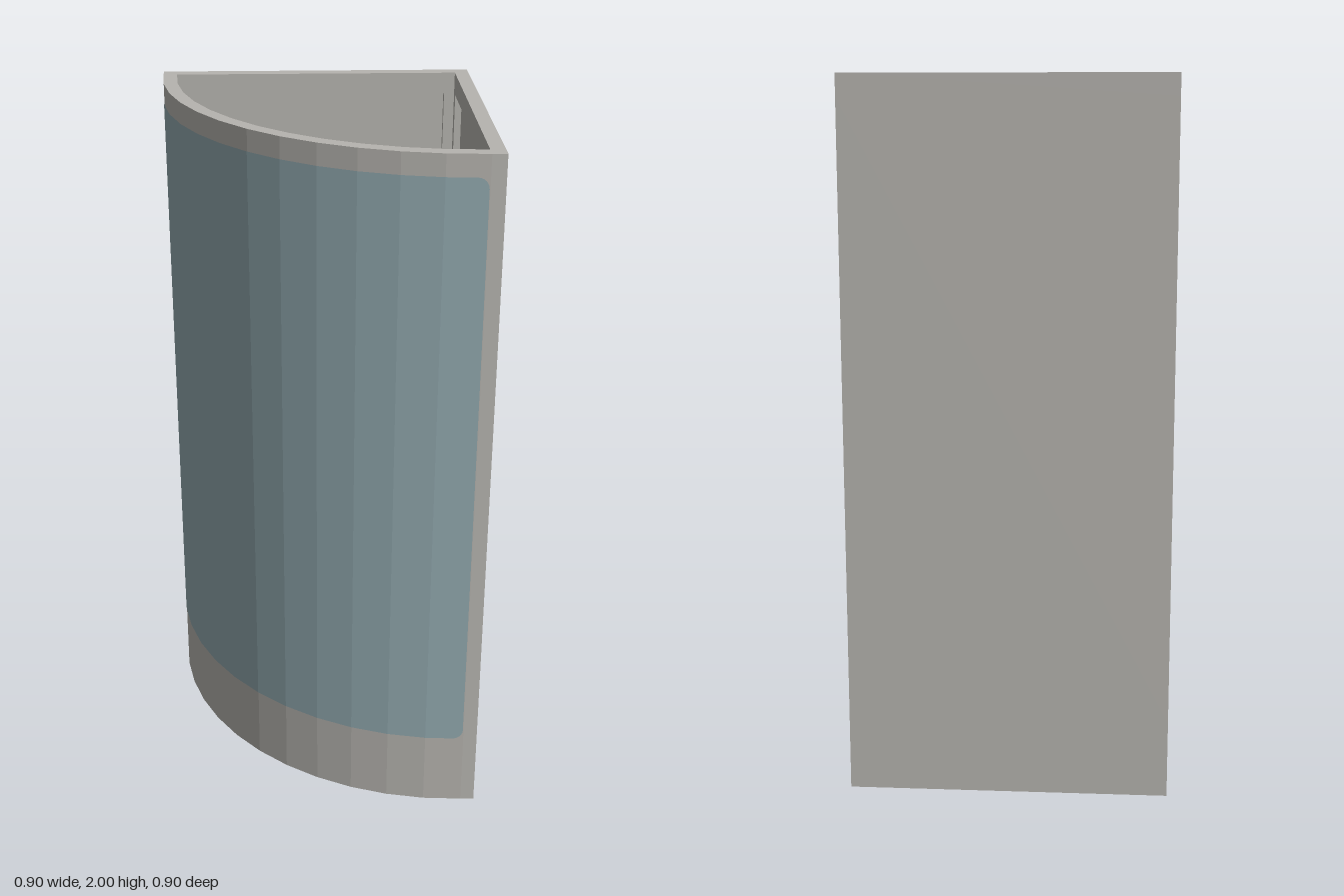
import * as THREE from 'three';

const wallMat = new THREE.MeshStandardMaterial({ name: 'warm grey wall', color: 0xb6b4af, side: THREE.DoubleSide });
const glassMat = new THREE.MeshStandardMaterial({ name: 'blue grey glass', color: 0x92a9af, side: THREE.DoubleSide });
const metalMat = new THREE.MeshStandardMaterial({ name: 'light fixture metal', color: 0xbcbdb9 });
const drainMat = new THREE.MeshStandardMaterial({ name: 'black drain', color: 0x2b2b2b });

const C = 0.41, SEG = 12; // arc centre is (C, -C), quarter turn in 12 facets

// Point on the faceted quarter arc, t from 0 (left end) to SEG (front end)
function arcPoint(r, t) {
  const at = i => {
    const a = (i / SEG) * Math.PI / 2;
    return new THREE.Vector2(C - r * Math.cos(a), -C + r * Math.sin(a));
  };
  const i = Math.min(Math.floor(t), SEG - 1);
  return at(i).lerp(at(i + 1), t - i);
}

const arc = r => Array.from({ length: SEG + 1 }, (_, i) => arcPoint(r, i));
const V = (x, z) => new THREE.Vector2(x, z);

// Quarter-round outline: flat walls at distance d, arc of radius r
function outline(d, r) {
  if (d >= C) return [V(d, -d), V(-d, -d), ...arc(r), V(d, d)];
  const start = C - Math.sqrt(r * r - (C - d) ** 2);
  const mid = arc(r).filter(p => p.x < d - 0.002 && p.y > -d + 0.002);
  return [V(d, -d), V(start, -d), ...mid, V(d, -start)];
}

const toShape = pts => new THREE.Shape(pts.map(p => V(p.x, -p.y)));

function add(parent, name, geo, mat, x = 0, y = 0, z = 0) {
  const m = new THREE.Mesh(geo, mat);
  m.name = name;
  m.position.set(x, y, z);
  parent.add(m);
  return m;
}

// Vertical wall ring between two heights
function ring(outer, inner, y0, y1) {
  const s = toShape(outer);
  s.holes.push(toShape(inner));
  return new THREE.ExtrudeGeometry(s, { depth: y1 - y0, bevelEnabled: false })
    .rotateX(-Math.PI / 2).translate(0, y0, 0);
}

const flat = (pts, y) => new THREE.ShapeGeometry(toShape(pts)).rotateX(-Math.PI / 2).translate(0, y, 0);

function fromQuads(quads) {
  const pos = quads.flatMap(([a, b, c, d]) => [a, b, c, a, c, d].flat());
  const g = new THREE.BufferGeometry();
  g.setAttribute('position', new THREE.Float32BufferAttribute(pos, 3));
  g.computeVertexNormals();
  return g;
}

// Curved window sheet with rounded corners
function pane(r, t0, t1, y0, y1, sign) {
  const step = r * Math.PI / 2 / SEG, rad = 0.03, ts = [];
  for (let i = 0; i <= 6; i++) {
    const d = rad * (1 - Math.cos(i / 6 * Math.PI / 2)) / step;
    ts.push(t0 + d, t1 - d);
  }
  for (let i = 0; i <= SEG; i++) if (i > t0 + rad / step && i < t1 - rad / step) ts.push(i);
  ts.sort((a, b) => a - b);
  const cols = ts.map(t => {
    const d = Math.min(t - t0, t1 - t) * step;
    const k = Math.max(rad - d, 0);
    const inset = rad - Math.sqrt(Math.max(rad * rad - k * k, 0));
    const p = arcPoint(r, t);
    return [[p.x, y0 + inset, p.y], [p.x, y1 - inset, p.y]];
  });
  return fromQuads(cols.slice(1).map((c, i) => {
    const q = [cols[i][0], c[0], c[1], cols[i][1]];
    return sign > 0 ? q : q.reverse();
  }));
}

export function createModel() {
  const model = new THREE.Group();
  model.name = 'cornerShower';

  // Enclosure, with recessed panels inside the two flat walls
  const outer = outline(0.45, 0.86), inner = outline(0.41, 0.82);
  const recessed = [
    V(0.41, 0.38), V(0.43, 0.38), V(0.43, -0.38), V(0.41, -0.38), V(0.41, -0.41),
    V(0.38, -0.41), V(0.38, -0.43), V(-0.38, -0.43), V(-0.38, -0.41), ...arc(0.82),
  ];
  add(model, 'lowerWall', ring(outer, inner, 0, 0.22), wallMat);
  add(model, 'middleWall', ring(outer, recessed, 0.22, 1.94), wallMat);
  add(model, 'topFrame', ring(outer, inner, 1.94, 2), wallMat);
  add(model, 'outerGlass', pane(0.8615, 0.02, SEG - 0.02, 0.225, 1.94, 1), glassMat);
  add(model, 'innerGlass', pane(0.8185, 0.45, SEG - 0.45, 0.225, 1.94, -1), glassMat);

  // Tray: ledge, sloping sides, floor and underside
  const rimY = 0.16, floorY = 0.08;
  const hi = outline(0.365, 0.772), lo = outline(0.34, 0.746);
  add(model, 'trayLedge', ring(inner, hi, rimY - 0.01, rimY), wallMat);
  add(model, 'traySlope', fromQuads(hi.map((p, i) => {
    const j = (i + 1) % hi.length;
    return [[p.x, rimY, p.y], [hi[j].x, rimY, hi[j].y], [lo[j].x, floorY, lo[j].y], [lo[i].x, floorY, lo[i].y]].reverse();
  })), wallMat);
  add(model, 'trayFloor', flat(lo, floorY), wallMat);
  add(model, 'underside', flat(outer, 0.001), wallMat);
  add(model, 'drain', new THREE.CylinderGeometry(0.043, 0.043, 0.008, 8).rotateY(0.2), drainMat, 0.167, floorY + 0.004, -0.17);

  // Shower head on a bent arm
  const head = new THREE.Group();
  head.name = 'showerHead';
  model.add(head);
  add(head, 'wallPlate', new THREE.BoxGeometry(0.104, 0.1, 0.04), metalMat, 0, 1.66, -0.41);
  const side = [[-0.43, 1.69], [-0.3, 1.69], [-0.205, 1.665], [-0.17, 1.64], [-0.15, 1.59], [-0.185, 1.585], [-0.215, 1.62], [-0.3, 1.645], [-0.43, 1.645]];
  const arm = new THREE.ExtrudeGeometry(new THREE.Shape(side.map(([z, y]) => V(-z, y))), { depth: 0.05, bevelEnabled: false })
    .translate(0, 0, -0.025).rotateY(Math.PI / 2);
  add(head, 'arm', arm, metalMat);
  add(head, 'armPin', new THREE.CylinderGeometry(0.017, 0.017, 0.012, 16), metalMat, 0, 1.692, -0.325);
  add(head, 'sprayBlock', new THREE.BoxGeometry(0.112, 0.06, 0.1), metalMat, 0, 1.56, -0.166).rotation.x = -0.25;

  // Mixer bar with a knob at each end
  const mixer = new THREE.Group();
  mixer.name = 'mixer';
  mixer.position.set(0, 1, -0.366);
  model.add(mixer);
  add(mixer, 'body', new THREE.BoxGeometry(0.21, 0.05, 0.05), metalMat);
  add(mixer, 'mount', new THREE.BoxGeometry(0.1, 0.05, 0.07), metalMat, 0, 0, -0.03);
  for (const s of [-1, 1]) {
    add(mixer, 'knobNeck', new THREE.CylinderGeometry(0.018, 0.018, 0.02, 12).rotateZ(Math.PI / 2), metalMat, s * 0.11, 0, 0);
    add(mixer, 'knob', new THREE.CylinderGeometry(0.025, 0.025, 0.02, 12).rotateZ(Math.PI / 2), metalMat, s * 0.125, 0, 0);
  }
  return model;
}
